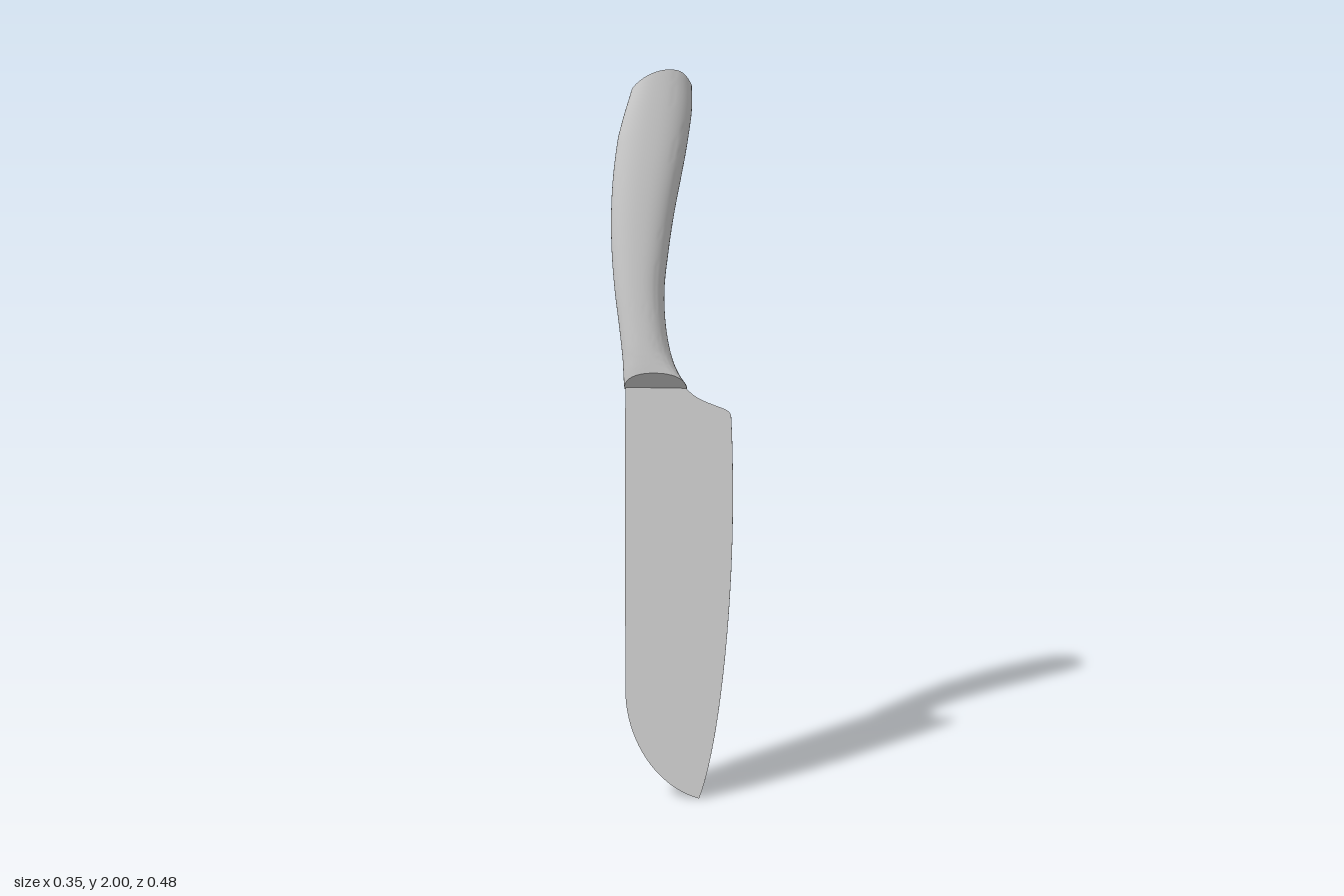
import * as THREE from 'three';
import { toCreasedNormals } from 'three/addons/utils/BufferGeometryUtils.js';

const BOTTOM = 1.142, TOP = 2.035, SIDES = 48, RINGS = 48;

// Handle silhouette as (left edge, height, right edge)
const silhouette = new THREE.CatmullRomCurve3([
  [-0.134, 1.142, 0.042], [-0.137, 1.175, 0.022], [-0.14, 1.225, 0.001],
  [-0.15, 1.31, -0.018], [-0.165, 1.42, -0.025], [-0.175, 1.53, -0.015],
  [-0.178, 1.64, 0.0], [-0.174, 1.74, 0.018], [-0.163, 1.84, 0.035],
  [-0.146, 1.95, 0.046], [-0.125, 2.035, 0.045],
].map((p) => new THREE.Vector3(...p)));

// Domed butt: height drops away from its crown, faster on the back side
function buttDrop(x) {
  const d = x + 0.01;
  return d < 0 ? 0.05 * Math.pow(-d / 0.115, 2) : 0.035 * Math.pow(d / 0.055, 3);
}

function handleRing(t, fold) {
  const p = silhouette.getPoint(t);
  const mid = (p.x + p.z) / 2, halfWidth = (p.z - p.x) / 2;
  const halfDepth = 0.057 + 0.004 * Math.sin(Math.PI * Math.min(1, t * 0.75));
  const round = (v) => Math.sign(v) * Math.pow(Math.abs(v), 0.88);
  const wTop = THREE.MathUtils.clamp((p.y - 1.85) / (TOP - 1.85), 0, 1);
  const wBottom = THREE.MathUtils.clamp((1.25 - p.y) / (1.25 - BOTTOM), 0, 1);
  const ring = [];
  for (let j = 0; j <= SIDES; j++) {
    const a = ((j % SIDES) / SIDES) * Math.PI * 2;
    const x = mid + halfWidth * round(Math.cos(a));
    const z = halfDepth * round(Math.sin(a)) * fold;
    // wedge-cut lower end, domed upper end
    ring.push([x, p.y + 0.75 * Math.abs(z) * wBottom - buttDrop(x) * wTop, z]);
  }
  return ring;
}

function handleGeometry() {
  const rings = [handleRing(0, 0)];
  for (let i = 0; i <= RINGS; i++) rings.push(handleRing(i / RINGS, 1));
  rings.push(handleRing(1, 0));
  const pos = [];
  for (let i = 0; i < rings.length - 1; i++) {
    for (let j = 0; j < SIDES; j++) {
      const a = rings[i][j], b = rings[i][j + 1];
      const c = rings[i + 1][j], d = rings[i + 1][j + 1];
      pos.push(...a, ...c, ...b, ...b, ...c, ...d);
    }
  }
  const g = new THREE.BufferGeometry();
  g.setAttribute('position', new THREE.Float32BufferAttribute(pos, 3));
  return toCreasedNormals(g, 0.7);
}

function bladeGeometry() {
  const s = new THREE.Shape();
  s.moveTo(-0.131, 1.165);
  s.lineTo(-0.13, 1.0);
  s.lineTo(-0.12, 0.3);
  s.bezierCurveTo(-0.118, 0.16, -0.03, 0.03, 0.09, 0);   // rounded nose
  s.bezierCurveTo(0.14, 0.13, 0.174, 0.47, 0.175, 0.77); // cutting edge
  s.quadraticCurveTo(0.175, 0.95, 0.167, 1.07);
  s.quadraticCurveTo(0.164, 1.082, 0.15, 1.088);         // heel
  s.bezierCurveTo(0.1, 1.108, 0.07, 1.112, 0.036, 1.15);
  s.lineTo(0.02, 1.165);
  s.closePath();
  const g = new THREE.ExtrudeGeometry(s, { depth: 2, bevelEnabled: false, curveSegments: 20 });
  // thin the blade towards the cutting edge and the tip
  const p = g.attributes.position;
  for (let i = 0; i < p.count; i++) {
    const half = 0.0035 + 0.0015 * p.getY(i) - 0.008 * p.getX(i);
    p.setZ(i, (p.getZ(i) - 1) * half);
  }
  return toCreasedNormals(g, 0.5);
}

export function createModel() {
  const material = new THREE.MeshStandardMaterial({ color: 0xcccccc });
  const knife = new THREE.Group();
  knife.name = 'knife';
  const add = (name, geometry) => {
    const mesh = new THREE.Mesh(geometry, material);
    mesh.name = name;
    knife.add(mesh);
  };
  add('handle', handleGeometry());
  add('blade', bladeGeometry());
  // leans back, standing on its tip
  knife.rotation.x = -0.208;
  knife.position.z = 0.238;
  const model = new THREE.Group();
  model.name = 'kitchenKnife';
  model.add(knife);
  return model;
}
